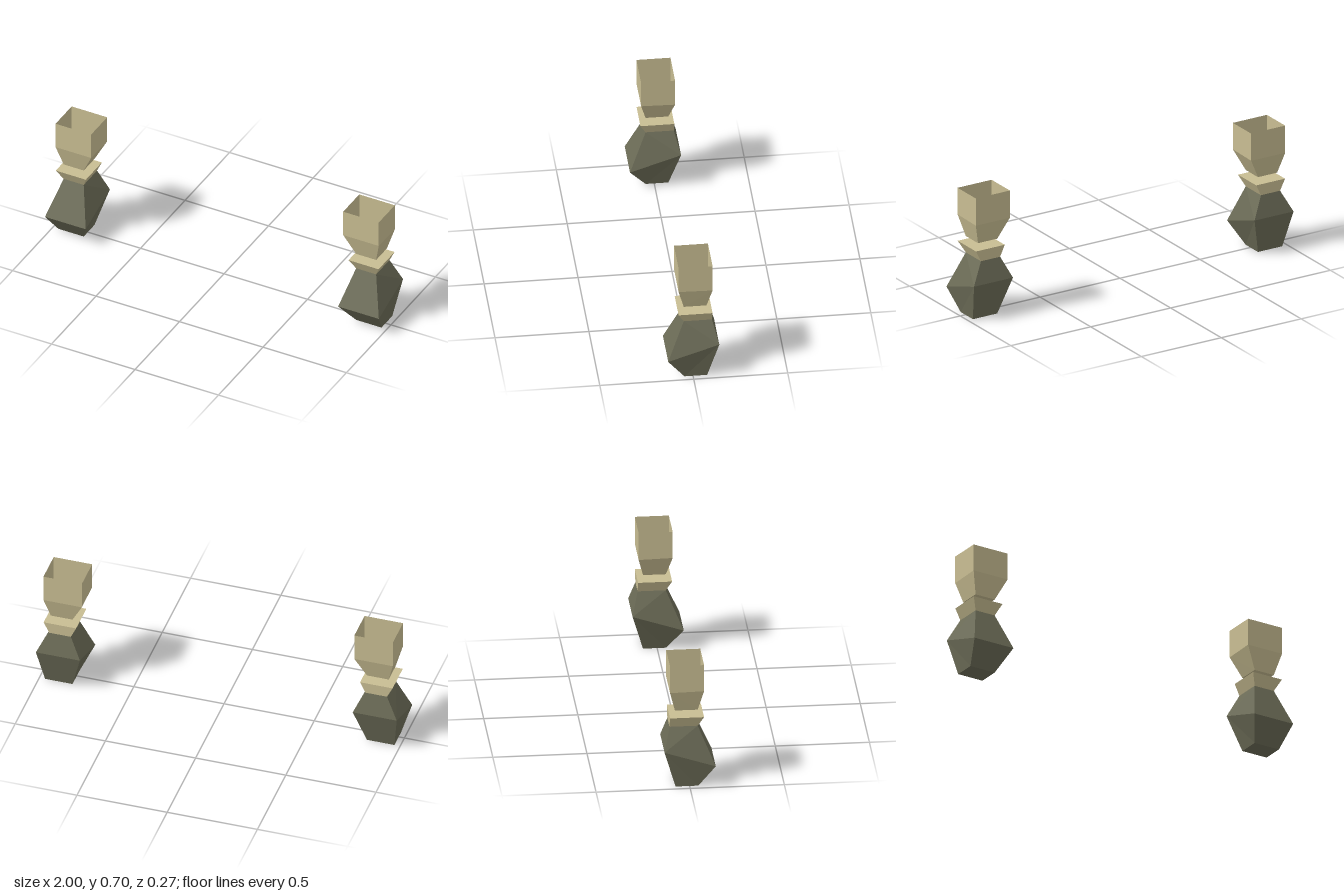
import * as THREE from 'three';

// Faceted tube through rectangular rings, listed from bottom to top.
// Ring: [outerX, innerX, frontZ, backZ, frontY, backY]; side mirrors it in x.
function loft(rings, side, capBottom, capTop) {
  const corners = rings.map(([xo, xi, zf, zb, yf, yb]) => {
    const x0 = Math.min(side * xo, side * xi);
    const x1 = Math.max(side * xo, side * xi);
    return [[x0, yf, zf], [x1, yf, zf], [x1, yb, zb], [x0, yb, zb]];
  });
  const pos = [];
  const tri = (a, b, c) => pos.push(...a, ...b, ...c);
  for (let k = 0; k < corners.length - 1; k++) {
    const a = corners[k], b = corners[k + 1];
    for (let i = 0; i < 4; i++) {
      const j = (i + 1) % 4;
      // alternate the fold so both flanks crease the same way
      if ((k + (i === 3 ? 1 : 0)) % 2 === 0) {
        tri(a[i], a[j], b[j]);
        tri(a[i], b[j], b[i]);
      } else {
        tri(a[i], a[j], b[i]);
        tri(a[j], b[j], b[i]);
      }
    }
  }
  if (capBottom) {
    const c = corners[0];
    tri(c[0], c[2], c[1]);
    tri(c[0], c[3], c[2]);
  }
  if (capTop) {
    const c = corners[corners.length - 1];
    tri(c[0], c[1], c[2]);
    tri(c[0], c[2], c[3]);
  }
  const geo = new THREE.BufferGeometry();
  geo.setAttribute('position', new THREE.Float32BufferAttribute(pos, 3));
  geo.computeVertexNormals();
  return geo;
}

export function createModel() {
  const cloth = new THREE.MeshStandardMaterial({ color: 0xc8bd92, side: THREE.DoubleSide });
  cloth.name = 'sand cloth';
  const glove = new THREE.MeshStandardMaterial({ color: 0x6c6c57 });
  glove.name = 'olive glove';

  const sleeve = [
    [0.936, 0.816, 0.046, -0.075, 0.426, 0.426],
    [0.968, 0.755, 0.077, -0.104, 0.546, 0.542],
    [0.968, 0.755, 0.077, -0.104, 0.697, 0.697],
  ];
  const cuff = [
    [0.936, 0.816, 0.046, -0.104, 0.333, 0.333],
    [0.967, 0.787, 0.077, -0.104, 0.395, 0.395],
  ];
  // the widest ring of the hand leans down toward the front
  const hand = [
    [0.968, 0.816, 0.046, -0.075, 0, 0],
    [1.0, 0.756, 0.136, -0.136, 0.122, 0.212],
    [0.936, 0.816, 0.046, -0.104, 0.333, 0.333],
  ];

  const model = new THREE.Group();
  model.name = 'arms';
  for (const [name, side] of [['leftArm', 1], ['rightArm', -1]]) {
    const arm = new THREE.Group();
    arm.name = name;
    const add = (part, geo, mat) => {
      const mesh = new THREE.Mesh(geo, mat);
      mesh.name = part;
      arm.add(mesh);
    };
    add('sleeve', loft(sleeve, side, true, false), cloth); // open at the shoulder
    add('cuff', loft(cuff, side, false, true), cloth);
    add('hand', loft(hand, side, true, false), glove); // top sits under the cuff
    model.add(arm);
  }
  return model;
}
